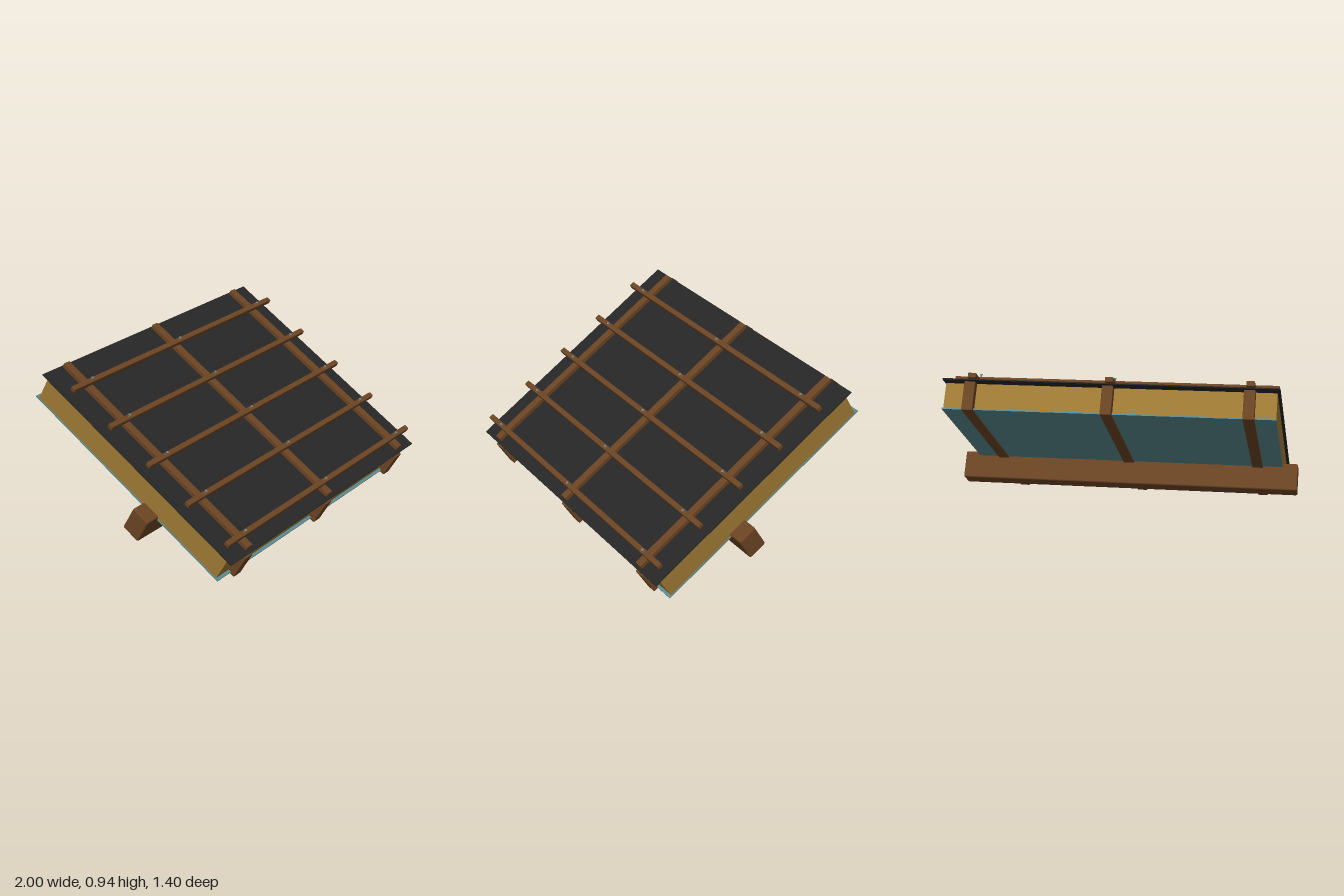
import * as THREE from 'three';
import { RoundedBoxGeometry } from 'three/addons/geometries/RoundedBoxGeometry.js';

function material(name, color) {
  const m = new THREE.MeshStandardMaterial({ color });
  m.name = name;
  return m;
}

export function createModel() {
  const timber = material('brown timber', 0x6b4423);
  const wool = material('ochre insulation', 0xa07a34);
  const film = material('teal vapour barrier', 0x5b8a8f);
  const felt = material('black underlay', 0x262626);
  const steel = material('screw steel', 0x708488);

  const model = new THREE.Group();
  model.name = 'roofSection';
  // Everything is laid flat in this group, which is pitched at 30 degrees
  const roof = new THREE.Group();
  roof.name = 'pitchedLayers';
  roof.rotation.x = Math.PI / 6;
  model.add(roof);

  // Block given by its extents; a bevel rounds the timber edges
  function block(name, mat, [x0, x1], [y0, y1], [z0, z1], bevel = 0) {
    const size = [x1 - x0, y1 - y0, z1 - z0];
    const geo = bevel
      ? new RoundedBoxGeometry(...size, 2, bevel)
      : new THREE.BoxGeometry(...size);
    const mesh = new THREE.Mesh(geo, mat);
    mesh.name = name;
    mesh.position.set((x0 + x1) / 2, (y0 + y1) / 2, (z0 + z1) / 2);
    roof.add(mesh);
  }

  // Sheet layers
  block('vapourBarrier', film, [-0.912, 0.912], [0.326, 0.334], [-0.968, 0.503]);
  block('insulation', wool, [-0.91, 0.91], [0.336, 0.484], [-0.946, 0.486]);
  block('underlay', felt, [-0.925, 0.925], [0.494, 0.501], [-0.98, 0.521]);

  // Purlin carrying the rafters
  block('purlin', timber, [-1, 1], [0.188, 0.35], [-0.087, 0.03], 0.01);

  const rafterX = [-0.765, 0, 0.765];
  for (const x of rafterX) {
    const wide = [x - 0.031, x + 0.031];
    // Rafter with exposed underside and ends
    block('rafter', timber, wide, [0.317, 0.347], [-0.991, 0.531], 0.005);
    block('rafterFrontEnd', timber, wide, [0.317, 0.484], [0.484, 0.531], 0.005);
    block('rafterBackEnd', timber, wide, [0.317, 0.484], [-0.991, -0.944], 0.005);
    // Counter batten above the underlay
    block('counterBatten', timber, [x - 0.023, x + 0.023], [0.513, 0.542], [-0.967, 0.503], 0.004);
  }

  // Cross battens with a screw over each rafter
  const shankGeo = new THREE.CylinderGeometry(0.004, 0.004, 0.05, 8);
  const headGeo = new THREE.CylinderGeometry(0.008, 0.006, 0.005, 10);
  for (let i = 0; i < 5; i++) {
    const z = 0.434 - i * 0.303;
    block('batten', timber, [-0.91, 0.91], [0.551, 0.581], [z - 0.016, z + 0.016], 0.005);
    for (const x of rafterX) {
      const screw = new THREE.Group();
      screw.name = 'screw';
      const shank = new THREE.Mesh(shankGeo, steel);
      shank.name = 'screwShank';
      shank.position.y = -0.025;
      const head = new THREE.Mesh(headGeo, steel);
      head.name = 'screwHead';
      screw.add(shank, head);
      screw.position.set(x, 0.597, z);
      roof.add(screw);
    }
  }

  return model;
}
